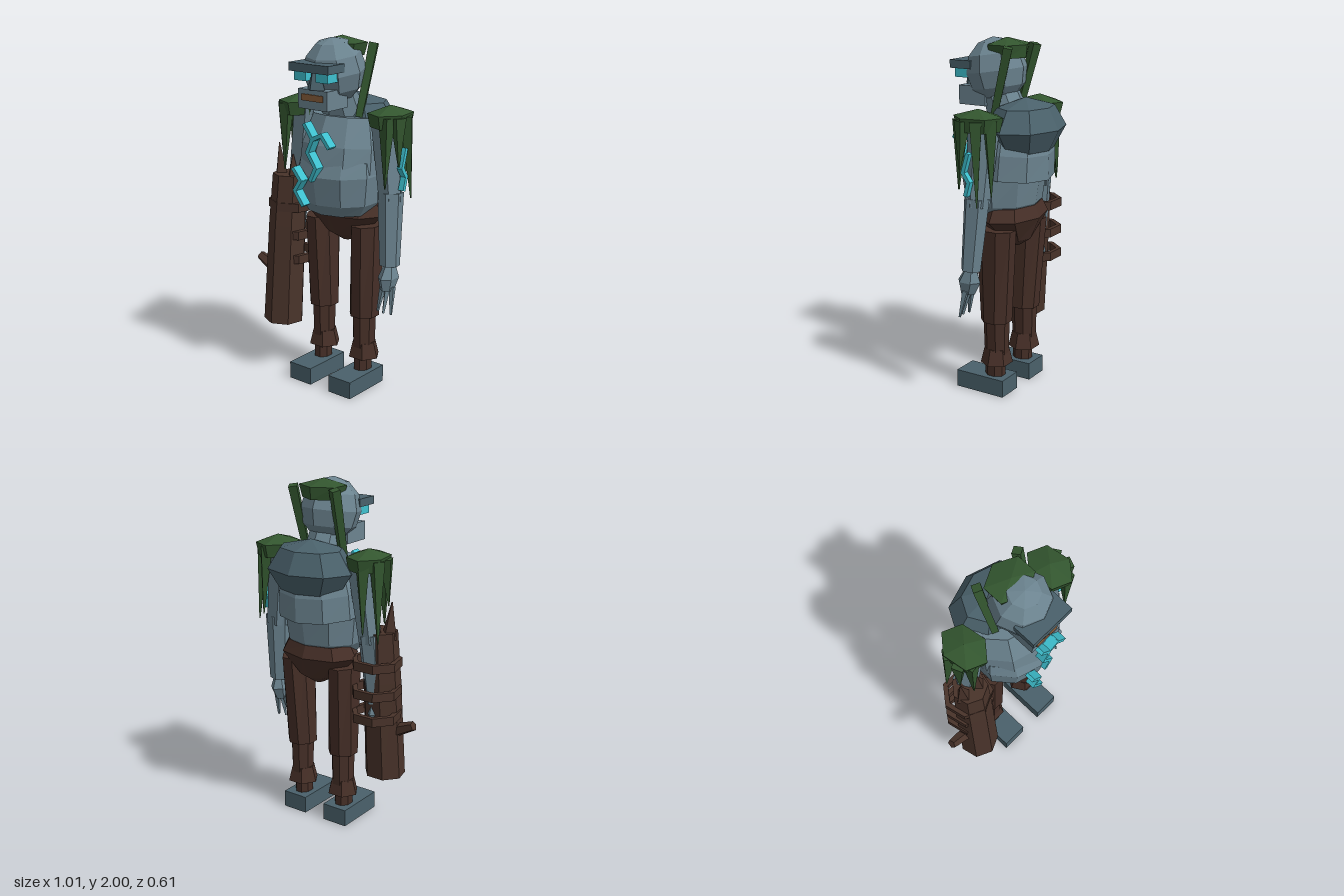
import * as THREE from 'three';

const V = (x, y, z) => new THREE.Vector3(x, y, z);
const C = 0.07; // body centre line

function material(name, color) {
  const m = new THREE.MeshStandardMaterial({ color });
  m.name = name;
  return m;
}

// faceted normals
function flat(geo) {
  const g = geo.index ? geo.toNonIndexed() : geo;
  g.computeVertexNormals();
  return g;
}

// closed solid through elliptical rings [y, rx, rz, cx, cz], bottom to top
function loft(rings, n, phase = 0) {
  const pos = [];
  const point = (r, i) => {
    const a = ((i + phase) / n) * Math.PI * 2;
    const [y, rx, rz, cx = 0, cz = 0] = rings[r];
    return [cx + Math.sin(a) * rx, y, cz + Math.cos(a) * rz];
  };
  const centre = (r) => [rings[r][3] || 0, rings[r][0], rings[r][4] || 0];
  const last = rings.length - 1;
  for (let i = 0; i < n; i++) {
    for (let r = 0; r < last; r++) {
      const a = point(r, i), b = point(r, i + 1), c = point(r + 1, i + 1), d = point(r + 1, i);
      pos.push(...a, ...b, ...c, ...a, ...c, ...d);
    }
    pos.push(...centre(0), ...point(0, i + 1), ...point(0, i));
    pos.push(...centre(last), ...point(last, i), ...point(last, i + 1));
  }
  const g = new THREE.BufferGeometry();
  g.setAttribute('position', new THREE.Float32BufferAttribute(pos, 3));
  return g;
}

// tapered bar from a to b
function bar(a, b, ra, rb, n) {
  const d = b.clone().sub(a);
  const g = new THREE.CylinderGeometry(rb, ra, d.length(), n);
  g.applyQuaternion(new THREE.Quaternion().setFromUnitVectors(V(0, 1, 0), d.normalize()));
  const m = a.clone().add(b).multiplyScalar(0.5);
  return g.translate(m.x, m.y, m.z);
}

export function createModel() {
  const skin = material('stone skin', 0x6c8490);
  const stone = material('dark stone', 0x4a616b);
  const trousers = material('trousers', 0x462f27);
  const wood = material('wood', 0x49332a);
  const moss = material('moss', 0x33562f);
  const glow = material('glow', 0x3fc1d0);
  const lip = material('mouth', 0x8a5f3c);

  const model = new THREE.Group();
  model.name = 'stoneGiant';
  const add = (name, geo, mat) => {
    const mesh = new THREE.Mesh(flat(geo), mat);
    mesh.name = name;
    model.add(mesh);
    return mesh;
  };
  const box = (name, mat, x0, x1, y0, y1, z0, z1) =>
    add(name, new THREE.BoxGeometry(x1 - x0, y1 - y0, z1 - z0)
      .translate((x0 + x1) / 2, (y0 + y1) / 2, (z0 + z1) / 2), mat);

  // hips, belly, chest
  add('pelvis', loft([[0.845, 0.03, 0.03, C, -0.03], [0.89, 0.11, 0.1, C, -0.03],
    [1.02, 0.25, 0.17, C, -0.02], [1.09, 0.21, 0.14, C, -0.02]], 8), trousers);
  add('belly', loft([[1.015, 0.02, 0.02, C, 0.04], [1.035, 0.19, 0.16, C, 0.04],
    [1.1, 0.235, 0.205, C, 0.04], [1.26, 0.255, 0.23, C, 0.04],
    [1.34, 0.24, 0.21, C, 0.03]], 10), skin);
  const chest = loft([[-0.16, 0.255, 0.25], [-0.02, 0.25, 0.24], [0.14, 0.205, 0.18]], 10);
  add('chest', chest.rotateX(-0.1).translate(C, 1.425, -0.01), skin);

  // hunched back and neck
  add('hump', new THREE.SphereGeometry(1, 8, 4).scale(0.27, 0.165, 0.205)
    .translate(C, 1.52, -0.1), stone);
  add('neck', bar(V(C, 1.5, -0.02), V(C, 1.72, 0.07), 0.12, 0.1, 8), skin);

  // head and face
  add('head', new THREE.SphereGeometry(1, 8, 6).scale(0.172, 0.18, 0.172)
    .rotateX(0.15).translate(C, 1.82, 0.085), skin);
  box('brow', stone, -0.065, 0.205, 1.83, 1.875, 0.17, 0.305);
  box('jaw', skin, C - 0.1, C + 0.1, 1.63, 1.735, 0.1, 0.27);
  box('mouth', lip, C - 0.073, C + 0.073, 1.675, 1.71, 0.268, 0.277);
  add('nose', loft([[1.735, 0.06, 0.05, C, 0.24], [1.83, 0.025, 0.03, C, 0.24]], 4), stone);
  for (const s of [-1, 1]) {
    const x = C + s * 0.075;
    box('eye', glow, x - 0.04, x + 0.04, 1.78, 1.83, 0.2, 0.285);
  }

  // moss cap with hanging strands
  add('mossCap', loft([[1.895, 0.115, 0.11, C, 0.01], [1.965, 0.138, 0.118, C, 0.01],
    [2.0, 0.002, 0.002, C, 0.02]], 6), moss);
  for (const s of [-1, 1]) {
    add('mossStrand', bar(V(C + s * 0.14, 1.96, -0.075), V(C + s * 0.125, 1.57, 0.03),
      0.034, 0.026, 4), moss);
  }

  for (const s of [-1, 1]) {
    const x = (d) => C + s * d;

    // legs and feet
    add('thigh', loft([[0.43, 0.085, 0.09, x(0.148), 0], [0.97, 0.085, 0.12, x(0.163), -0.01]], 8, 0.5), trousers);
    add('shin', loft([[0.2, 0.06, 0.07, x(0.148), 0], [0.52, 0.068, 0.08, x(0.148), 0]], 8, 0.5), trousers);
    add('cuff', loft([[0.175, 0.095, 0.09, x(0.147), 0], [0.265, 0.07, 0.07, x(0.147), 0]], 6, 0.5), trousers);
    add('ankle', loft([[0.09, 0.05, 0.06, x(0.147), 0.01], [0.2, 0.05, 0.06, x(0.147), 0.01]], 8, 0.5), trousers);
    box('foot', stone, x(0.145) - 0.078, x(0.145) + 0.078, 0, 0.1, -0.085, 0.225);

    // arms and hands
    add('upperArm', bar(V(x(0.27), 1.58, -0.01), V(x(0.325), 1.13, 0.005), 0.085, 0.068, 6), skin);
    add('forearm', bar(V(x(0.325), 1.18, 0.005), V(x(0.347), 0.775, 0.035), 0.072, 0.056, 6), skin);
    add('hand', loft([[0.64, 0.035, 0.045, x(0.348), 0.055], [0.71, 0.052, 0.072, x(0.348), 0.045],
      [0.775, 0.032, 0.04, x(0.347), 0.035]], 6), skin);
    for (const f of [-1, 0, 1]) {
      add('finger', bar(V(x(0.348 + f * 0.03), 0.66, 0.05), V(x(0.348 + f * 0.045), 0.51, 0.09 - Math.abs(f) * 0.01),
        0.02, 0.007, 4), skin);
    }

    // moss shoulder pads with drooping spikes
    add('shoulderPad', loft([[1.54, 0.1, 0.125, x(0.313), 0], [1.615, 0.112, 0.145, x(0.313), 0],
      [1.655, 0.002, 0.002, x(0.313), 0]], 6, 0.2), moss);
    const spikes = [[0.35, 0.085, 0.355, 0.1, 1.22], [0.39, -0.035, 0.415, -0.055, 1.15],
      [0.33, -0.085, 0.345, -0.1, 1.2], [0.395, 0.045, 0.41, 0.055, 1.34]];
    for (const [ax, az, bx, bz, tip] of spikes) {
      add('mossSpike', bar(V(x(ax), 1.6, az), V(x(bx), tip, bz), 0.045, 0.004, 4), moss);
    }
  }

  // glowing cracks as chains of short slabs
  const slab = (a, b, place) => {
    const dx = b[0] - a[0], dy = b[1] - a[1];
    const g = new THREE.BoxGeometry(Math.hypot(dx, dy) + 0.012, 0.022, 0.055);
    g.rotateZ(Math.atan2(dy, dx)).translate((a[0] + b[0]) / 2, (a[1] + b[1]) / 2, 0);
    add('glowingCrack', place(g), glow);
  };
  const crack = (pts, place) => pts.slice(1).forEach((p, i) => slab(pts[i], p, place));
  const atFront = (z) => (g) => g.translate(0, 0, z);
  crack([[0.03, 1.55], [0.085, 1.475], [0.05, 1.4], [0.105, 1.32], [0.07, 1.25]], atFront(0.268));
  crack([[0.085, 1.475], [0.145, 1.505], [0.195, 1.445]], atFront(0.268));
  crack([[-0.04, 1.3], [0.01, 1.24], [-0.03, 1.18], [0.025, 1.105]], atFront(0.282));
  // crack on the left arm, turned to face +x
  crack([[0, 1.43], [-0.03, 1.33], [0.005, 1.28], [-0.015, 1.21]],
    (g) => g.scale(1, 1, 0.6).rotateY(Math.PI / 2).translate(0.475, 0, 0));

  // wooden club with splintered top, branch stub and straps round the arm
  add('club', loft([[0.31, 0.12, 0.115, -0.29, 0.12], [0.9, 0.11, 0.11, -0.285, 0.08],
    [1.19, 0.102, 0.1, -0.28, 0.06]], 7), wood);
  const splinters = [[-0.335, 0.07, -0.352, 1.36], [-0.235, 0.08, -0.24, 1.31], [-0.28, 0.02, -0.285, 1.27]];
  for (const [px, pz, tx, ty] of splinters) {
    add('splinter', bar(V(px, 1.15, pz), V(tx, ty, pz), 0.05, 0.004, 4), wood);
  }
  add('branchStub', bar(V(-0.37, 0.6, 0.1), V(-0.49, 0.655, 0.1), 0.04, 0.028, 5), wood);
  const section = [[0.115, -0.025], [0.145, -0.025], [0.145, 0.025], [0.115, 0.025], [0.115, -0.025]]
    .map(([r, y]) => new THREE.Vector2(r, y));
  for (const y of [0.7, 0.845, 1.01]) {
    add('strap', new THREE.LatheGeometry(section, 7).translate(-0.278, y, 0.035), wood);
  }

  return model;
}
